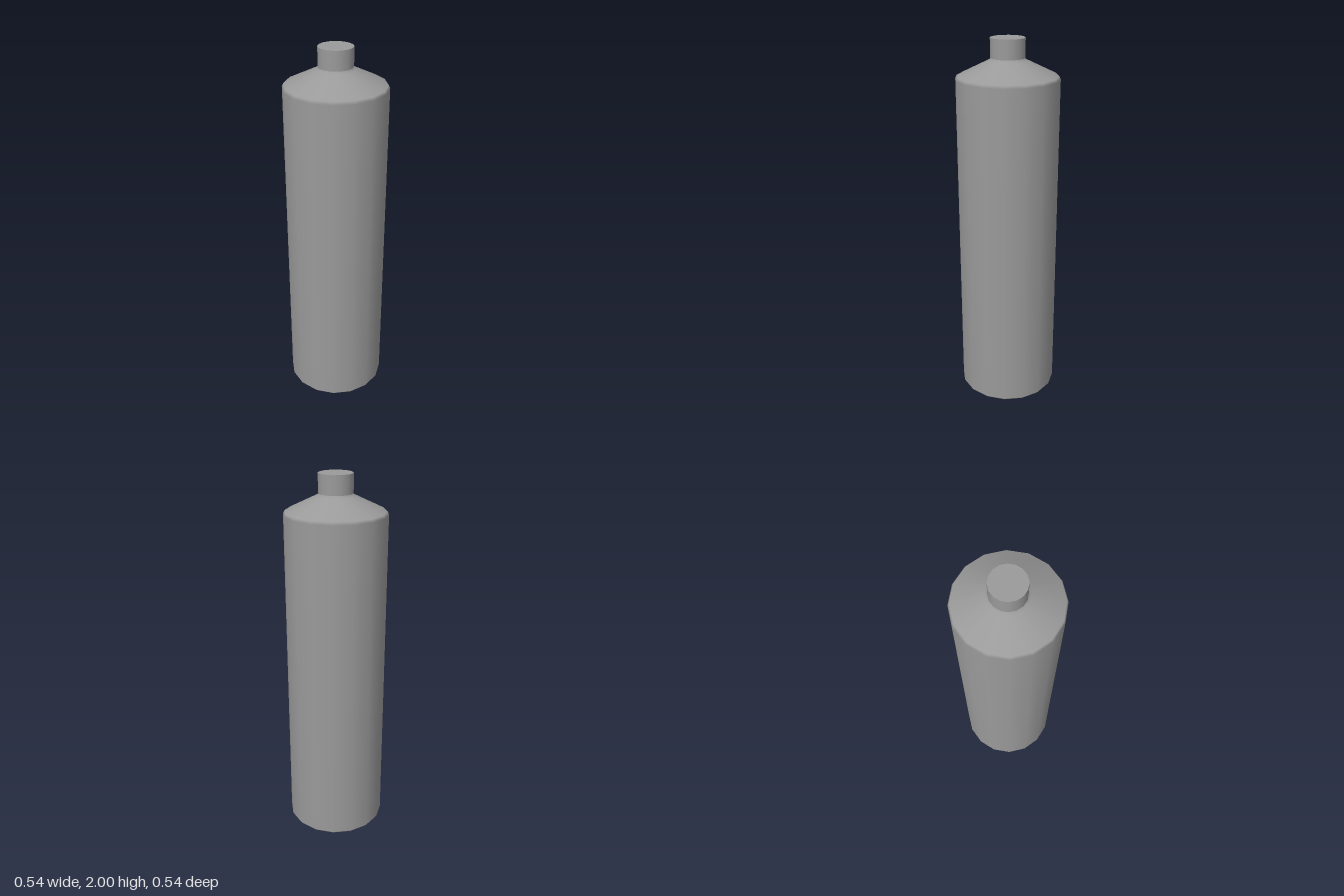
import * as THREE from 'three';

const SIDES = 16;

export function createModel() {
  const group = new THREE.Group();
  const material = new THREE.MeshStandardMaterial({ color: 0x9a9a9a });

  // Bottle body: base, softened rims, sloping shoulder and short neck
  const profile = [
    [0, 0], [0.26, 0], [0.27, 0.012],
    [0.27, 1.795], [0.262, 1.81],
    [0.1, 1.888], [0.083, 1.9], [0.08, 1.92],
  ].map(([r, y]) => new THREE.Vector2(r, y));
  const body = new THREE.Mesh(new THREE.LatheGeometry(profile, SIDES), material);
  body.name = 'body';
  group.add(body);

  // Cap: crisp-edged cylinder seated on the neck
  const cap = new THREE.Mesh(new THREE.CylinderGeometry(0.09, 0.09, 0.1, SIDES), material);
  cap.name = 'cap';
  cap.position.y = 1.95;
  group.add(cap);

  return group;
}
